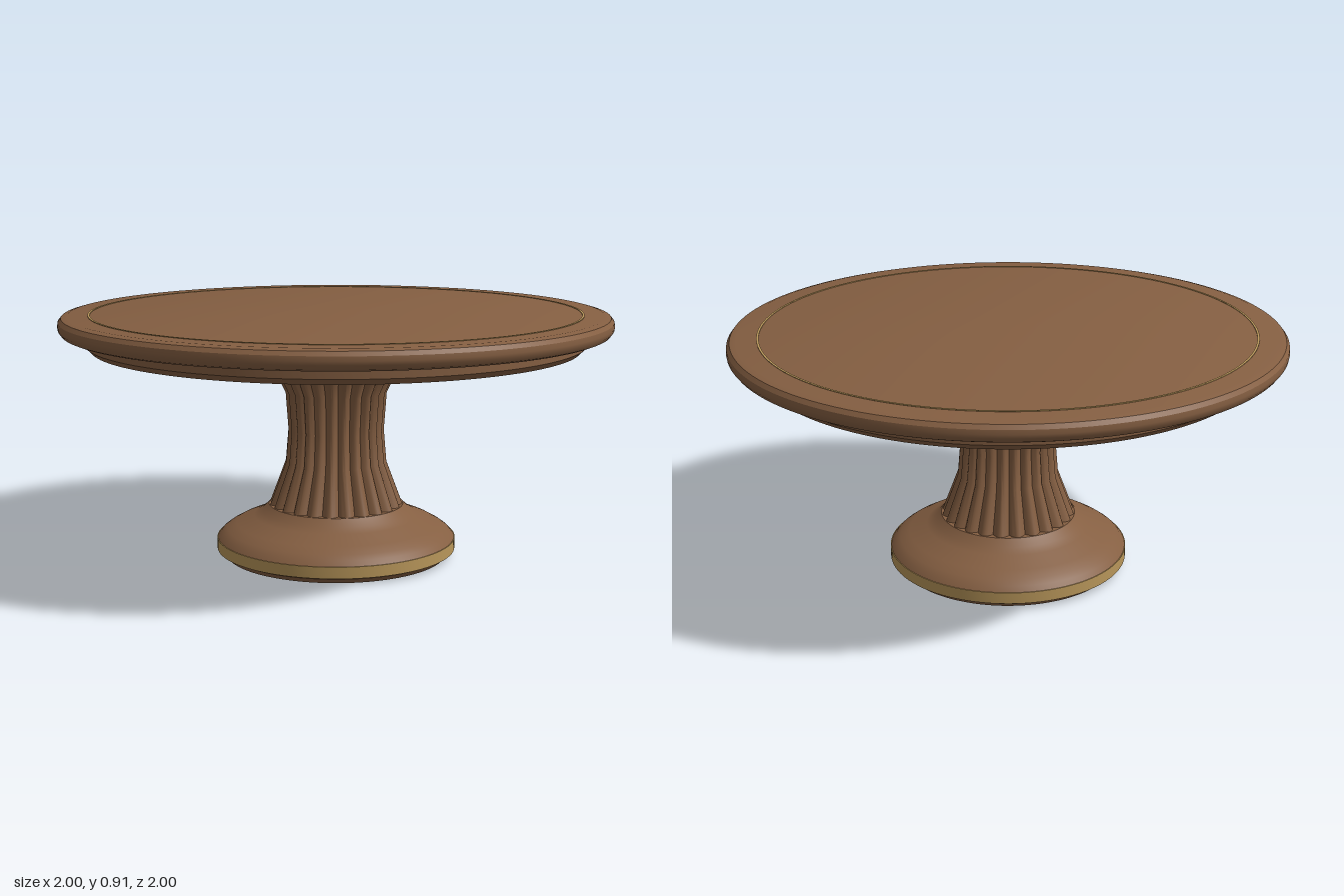
import * as THREE from 'three';
import { toCreasedNormals } from 'three/addons/utils/BufferGeometryUtils.js';

const wood = new THREE.MeshStandardMaterial({ color: 0x855f42 });
const brass = new THREE.MeshStandardMaterial({ color: 0xb8965a });

const FLUTES = 24;

// Turned solid from [radius, height] pairs, listed from bottom to top
function turned(name, profile, material, segments = 96) {
  const points = profile.map(([r, y]) => new THREE.Vector2(r, y));
  const geometry = new THREE.LatheGeometry(points, segments);
  const mesh = new THREE.Mesh(toCreasedNormals(geometry, 0.5), material);
  mesh.name = name;
  return mesh;
}

// Turned column whose radius is scalloped into rounded ribs
function flutedColumn(profile) {
  const points = profile.map(([r, y]) => new THREE.Vector2(r, y));
  const geometry = new THREE.LatheGeometry(points, FLUTES * 8);
  const pos = geometry.attributes.position;
  for (let i = 0; i < pos.count; i++) {
    const x = pos.getX(i), z = pos.getZ(i);
    const rib = Math.abs(Math.sin(Math.atan2(z, x) * FLUTES / 2));
    const scale = 1 - 0.09 * (1 - rib);
    pos.setX(i, x * scale);
    pos.setZ(i, z * scale);
  }
  const mesh = new THREE.Mesh(toCreasedNormals(geometry, 0.7), wood);
  mesh.name = 'flutedColumn';
  return mesh;
}

export function createModel() {
  const group = new THREE.Group();
  group.name = 'pedestalTable';

  // Foot: chamfered plinth, brass band and domed base
  group.add(turned('plinth', [[0, 0], [0.41, 0], [0.43, 0.02], [0.43, 0.03], [0, 0.03]], wood));
  group.add(turned('brassBand', [[0, 0.025], [0.443, 0.025], [0.443, 0.067], [0, 0.067]], brass));
  group.add(turned('domedBase', [
    [0.44, 0.067], [0.425, 0.085], [0.405, 0.1], [0.37, 0.12],
    [0.305, 0.147], [0.275, 0.165], [0.25, 0.19], [0, 0.19],
  ], wood));

  // Waisted column flaring up to the top
  group.add(flutedColumn([
    [0.247, 0.19], [0.187, 0.35], [0.177, 0.47], [0.187, 0.61], [0.237, 0.715], [0.315, 0.785],
  ]));

  // Apron under the top
  group.add(turned('apron', [
    [0, 0.78], [0.885, 0.78], [0.905, 0.8], [0.905, 0.837], [0, 0.837],
  ], wood, 128));

  // Round top with a rounded rim
  group.add(turned('tableTop', [
    [0, 0.835], [0.97, 0.835], [0.987, 0.842], [0.998, 0.857], [1, 0.87],
    [0.998, 0.885], [0.987, 0.899], [0.965, 0.905], [0, 0.905],
  ], wood, 128));

  // Thin brass inlay ring on the top
  group.add(turned('brassInlay', [
    [0.893, 0.9], [0.893, 0.907], [0.885, 0.907], [0.885, 0.9],
  ], brass, 128));

  return group;
}
